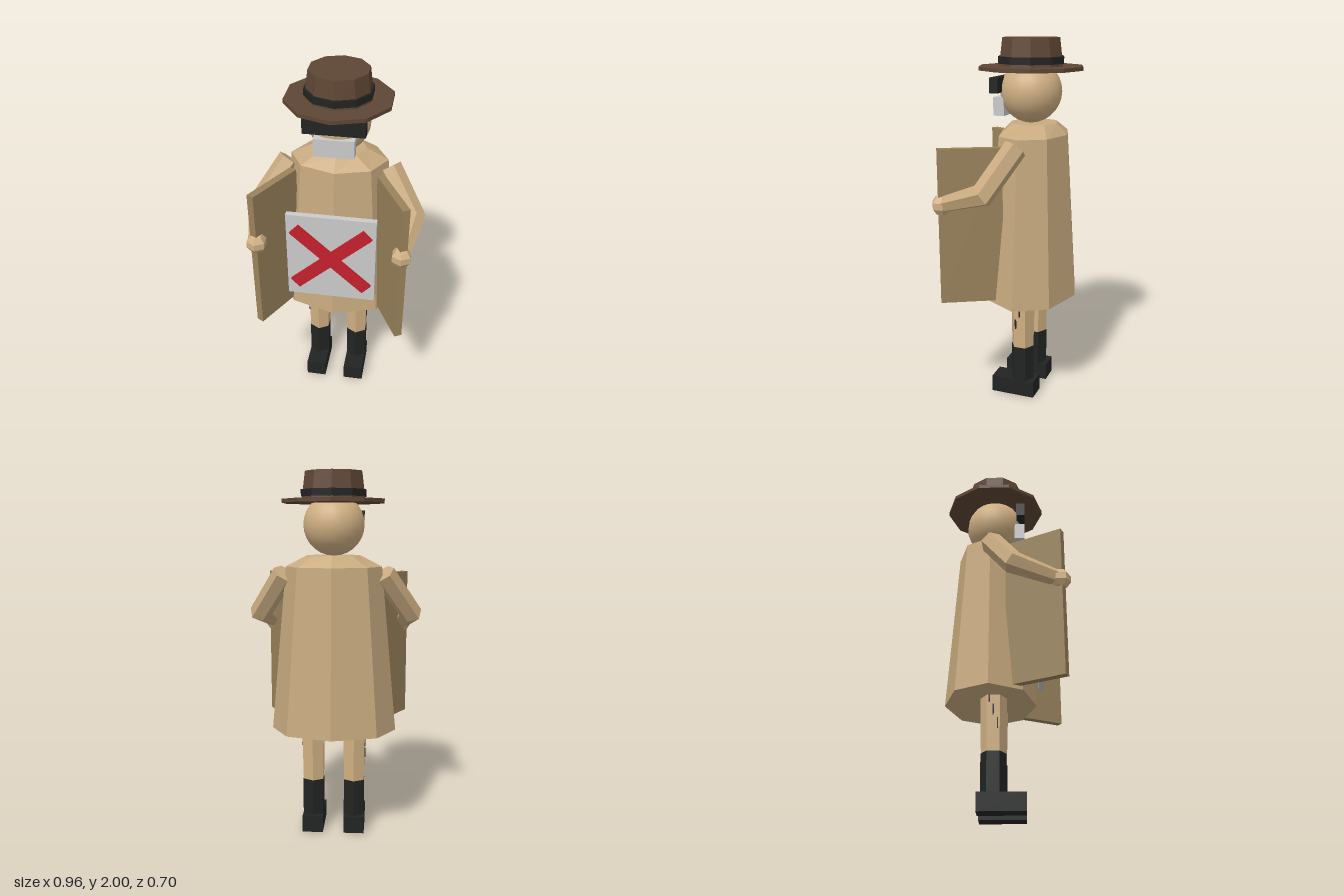
import * as THREE from 'three';

const paint = (name, color) => {
  const m = new THREE.MeshStandardMaterial({ color });
  m.name = name;
  return m;
};

// Faceted copy of a geometry
function flat(geo) {
  const g = geo.index ? geo.toNonIndexed() : geo;
  g.computeVertexNormals();
  return g;
}

// Six-sided sleeve through three points, mitred at the elbow
function sleeveGeometry(points, radii) {
  const d0 = points[1].clone().sub(points[0]).normalize();
  const d1 = points[2].clone().sub(points[1]).normalize();
  const mid = d0.clone().add(d1).normalize();
  const tangents = [d0, mid, d1];
  const normal = d0.clone().cross(d1).normalize();
  const stretch = [1, 1 / mid.dot(d0), 1];
  const geo = new THREE.CylinderGeometry(1, 1, 2, 6, 2);
  const pos = geo.attributes.position;
  for (let i = 0; i < pos.count; i++) {
    const k = Math.round(pos.getY(i)) + 1;
    const across = normal.clone().cross(tangents[k]);
    const p = points[k].clone()
      .addScaledVector(normal, pos.getX(i) * radii[k])
      .addScaledVector(across, pos.getZ(i) * radii[k] * stretch[k]);
    pos.setXYZ(i, p.x, p.y, p.z);
  }
  return flat(geo);
}

export function createModel() {
  const model = new THREE.Group();
  model.name = 'figure';

  const skin = paint('skin', 0xd0b083);
  const cloth = paint('coat cloth', 0xc8aa7f);
  const lining = paint('coat flap', 0x9a835c);
  const felt = paint('hat felt', 0x5e4634);
  const black = paint('black', 0x222323);
  const grey = paint('pale grey', 0xcacaca);
  const red = paint('red', 0xc4202c);

  const add = (name, geo, mat, x, y, z) => {
    const mesh = new THREE.Mesh(geo, mat);
    mesh.name = name;
    mesh.position.set(x, y, z);
    model.add(mesh);
    return mesh;
  };
  const box = (name, mat, w, h, d, x, y, z) =>
    add(name, new THREE.BoxGeometry(w, h, d), mat, x, y, z);
  const cyl = (name, mat, rTop, rBottom, y0, y1, sides, x, z) =>
    add(name, flat(new THREE.CylinderGeometry(rTop, rBottom, y1 - y0, sides)), mat, x, (y0 + y1) / 2, z);

  // Coat: flattened octagon, flaring to the hem, with sloped shoulders
  const coat = cyl('coat', cloth, 0.1875, 0.2475, 0.595, 1.5, 8, 0, -0.083);
  coat.scale.x = 1.39;
  const shoulderGeo = new THREE.CylinderGeometry(1, 1, 0.06, 8);
  const sp = shoulderGeo.attributes.position;
  for (let i = 0; i < sp.count; i++) {
    const top = sp.getY(i) > 0;
    sp.setX(i, sp.getX(i) * (top ? 0.145 : 0.2606));
    sp.setZ(i, sp.getZ(i) * (top ? 0.128 : 0.1875));
  }
  add('shoulders', flat(shoulderGeo), cloth, 0, 1.53, -0.083);

  // Head, dark glasses and mask
  add('head', new THREE.SphereGeometry(0.165, 20, 14), skin, 0, 1.722, -0.065);
  box('glasses', black, 0.32, 0.08, 0.048, 0, 1.76, 0.087);
  box('mask', grey, 0.21, 0.098, 0.06, 0, 1.646, 0.081);

  // Hat
  cyl('hatBrim', felt, 0.284, 0.284, 1.835, 1.855, 10, 0, -0.065);
  cyl('hatCrown', felt, 0.157, 0.175, 1.855, 2, 10, 0, -0.065);
  cyl('hatBand', black, 0.18, 0.18, 1.868, 1.905, 10, 0, -0.065);

  // Sign with a cross
  box('sign', grey, 0.48, 0.525, 0.032, 0, 1.033, 0.197);
  for (const s of [-1, 1]) {
    box('crossBar', red, 0.535, 0.071, 0.014, 0, 1.033, 0.22).rotation.z = s * 0.744;
  }

  for (const s of [-1, 1]) {
    // Open coat flap
    box('coatFlap', lining, 0.041, 0.84, 0.337, s * 0.3125, 1.035, 0.16).rotation.y = s * 0.488;

    // Arm and hand
    const path = [[0.27, 1.462, -0.077], [0.42, 1.24, 0.045], [0.382, 1.16, 0.29]]
      .map(([x, y, z]) => new THREE.Vector3(s * x, y, z));
    add('sleeve', sleeveGeometry(path, [0.063, 0.061, 0.043]), cloth, 0, 0, 0);
    const hand = flat(new THREE.SphereGeometry(0.057, 6, 5).rotateY(Math.PI / 6));
    add('hand', hand, skin, s * 0.38, 1.157, 0.293);

    // Leg, boot and foot
    cyl('leg', skin, 0.071, 0.064, 0.3, 0.62, 6, s * 0.115, -0.062);
    cyl('boot', black, 0.066, 0.066, 0.08, 0.3, 6, s * 0.115, -0.062);
    box('foot', black, 0.115, 0.095, 0.25, s * 0.116, 0.0475, -0.02);

    // Short dark hairs on the outer side of the leg
    for (const [y, z, len] of [[0.445, -0.04, 0.055], [0.517, -0.063, 0.055], [0.575, -0.084, 0.04]]) {
      box('legHair', black, 0.008, len, 0.007, s * 0.175, y, z);
    }
  }
  return model;
}
